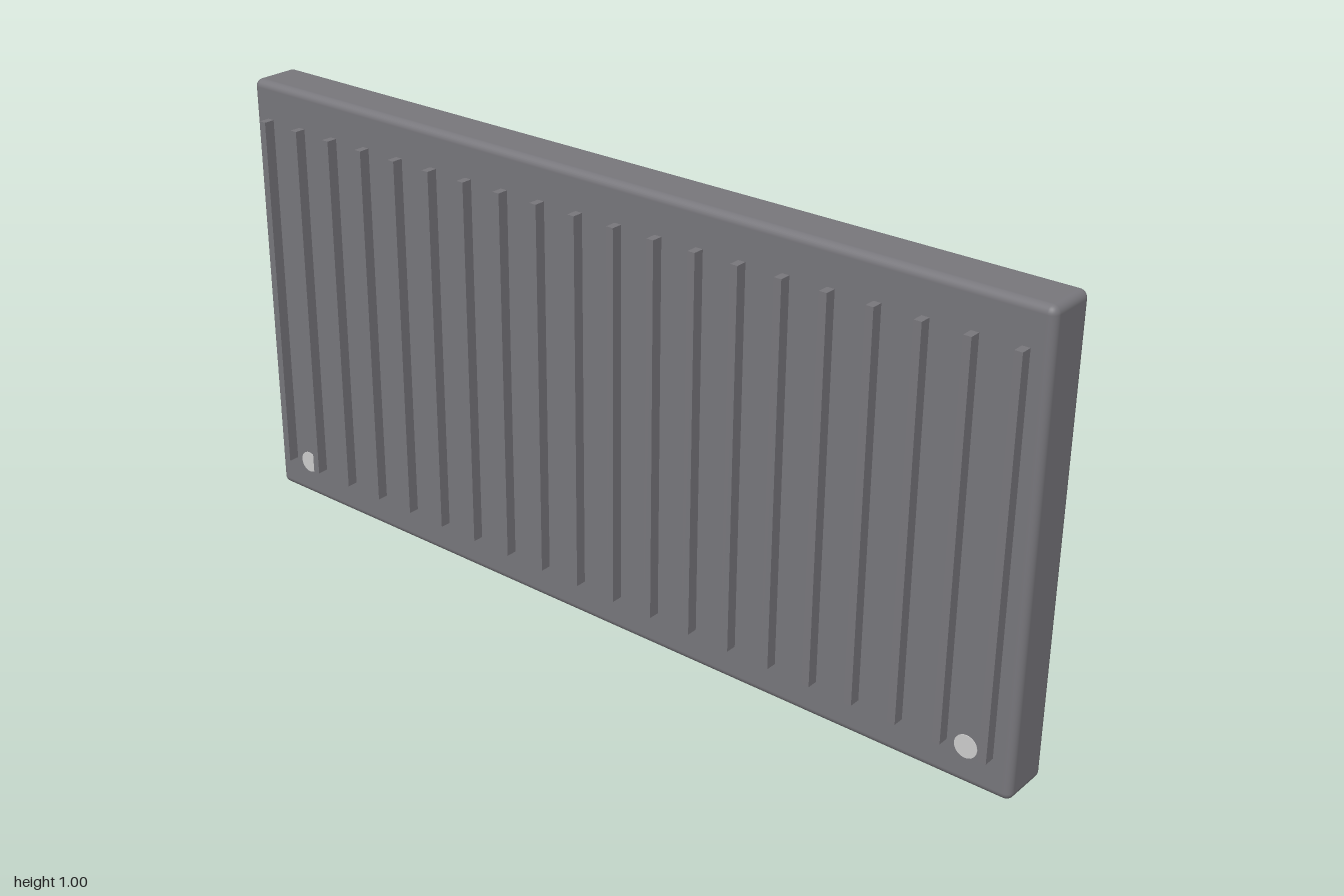
import * as THREE from 'three';
import { RoundedBoxGeometry } from 'three/addons/geometries/RoundedBoxGeometry.js';

export function createModel() {
  const group = new THREE.Group();
  const paint = new THREE.MeshStandardMaterial({ color: 0x77767b });
  const metal = new THREE.MeshStandardMaterial({ color: 0xcccccc });
  const depth = 0.1167;

  const add = (name, geometry, material, x, y, z) => {
    const mesh = new THREE.Mesh(geometry, material);
    mesh.name = name;
    mesh.position.set(x, y, z);
    group.add(mesh);
  };

  // Flat panel with softly rounded edges
  add('panel', new RoundedBoxGeometry(2, 1, depth, 4, 0.0167), paint, 0, 0.5, 0);

  // Vertical ribs on the front and back faces
  const ribDepth = 0.03;
  const ribGeometry = new THREE.BoxGeometry(0.0167, 0.8333, ribDepth);
  for (const side of [1, -1]) {
    for (let i = 0; i < 20; i++) {
      add(side > 0 ? 'frontRib' : 'backRib', ribGeometry, paint,
        -0.95 + i * 0.1, 0.5, side * (0.0833 - ribDepth / 2));
    }
  }

  // Pipe connection caps, nearly flush with the front face
  const capGeometry = new THREE.CylinderGeometry(0.025, 0.025, 0.03, 24).rotateX(Math.PI / 2);
  for (const side of [1, -1]) {
    add(side > 0 ? 'leftPipeCap' : 'rightPipeCap', capGeometry, metal,
      side * 0.9, 0.085, depth / 2 - 0.0135);
  }

  return group;
}
